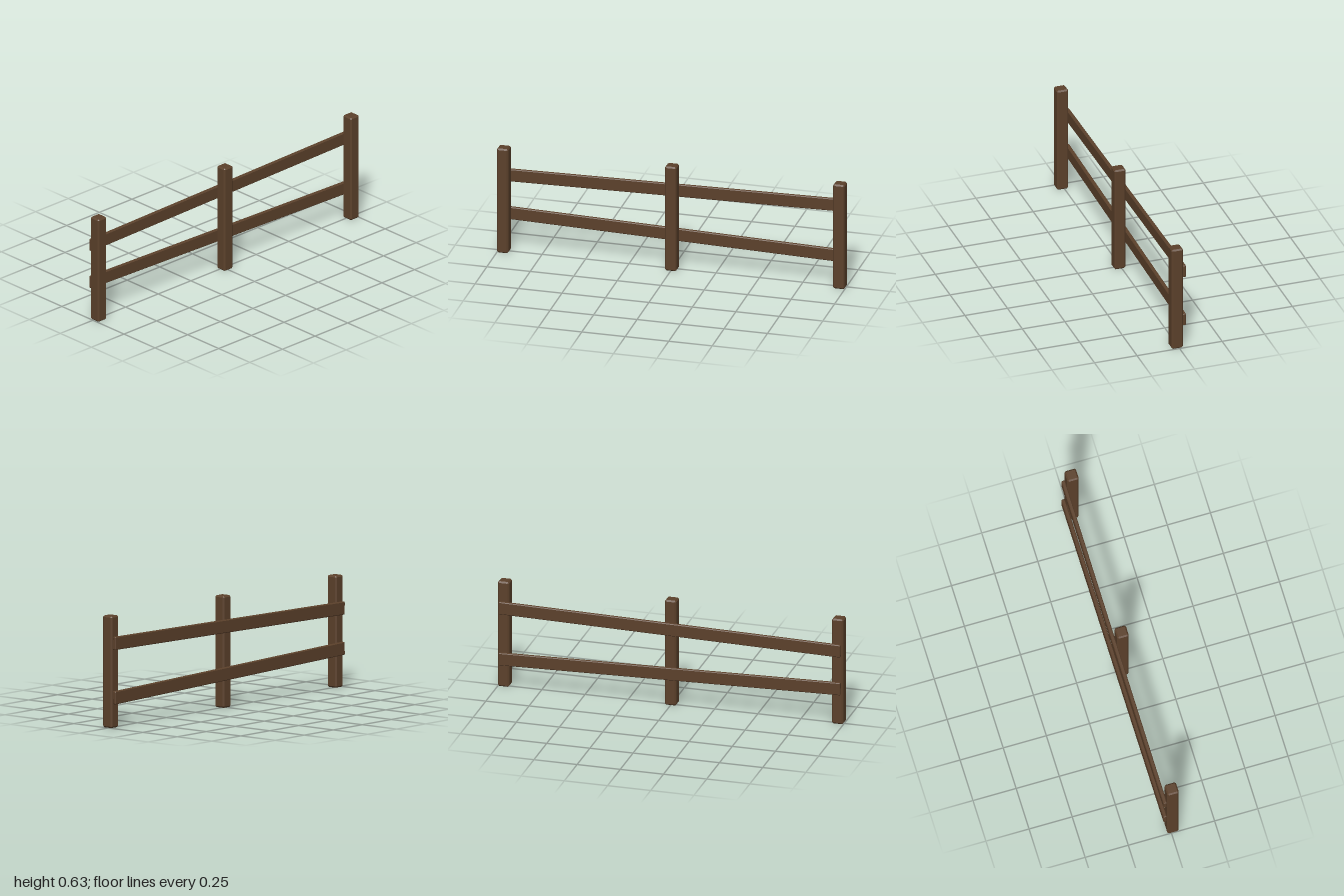
import * as THREE from 'three';
import { ConvexGeometry } from 'three/addons/geometries/ConvexGeometry.js';

// Box with every edge cut at 45 degrees: three points per corner.
function chamferedBox(w, h, d, c) {
  const points = [];
  for (const sx of [-1, 1]) for (const sy of [-1, 1]) for (const sz of [-1, 1]) {
    for (let axis = 0; axis < 3; axis++) {
      const inset = [c, c, c];
      inset[axis] = 0;
      points.push(new THREE.Vector3(
        sx * (w / 2 - inset[0]), sy * (h / 2 - inset[1]), sz * (d / 2 - inset[2])));
    }
  }
  return new ConvexGeometry(points);
}

export function createModel() {
  const fence = new THREE.Group();
  fence.name = 'fence';
  const wood = new THREE.MeshStandardMaterial({ color: 0x5c412b });
  wood.name = 'brown wood';

  // Three upright posts
  const postHeight = 0.628;
  const postGeometry = chamferedBox(0.066, postHeight, 0.066, 0.008);
  [['rightPost', -0.967], ['middlePost', 0], ['leftPost', 0.967]].forEach(([name, x]) => {
    const post = new THREE.Mesh(postGeometry, wood);
    post.name = name;
    post.position.set(x, postHeight / 2, 0.011);
    fence.add(post);
  });

  // Two slightly tilted rails fixed to the back of the posts
  const railGeometry = chamferedBox(1.978, 0.073, 0.021, 0.004);
  [['upperRail', 0.4605, 0.0162], ['lowerRail', 0.1945, -0.0243]].forEach(([name, y, tilt]) => {
    const rail = new THREE.Mesh(railGeometry, wood);
    rail.name = name;
    rail.position.set(0, y, -0.0325);
    rail.rotation.z = tilt;
    fence.add(rail);
  });

  return fence;
}
